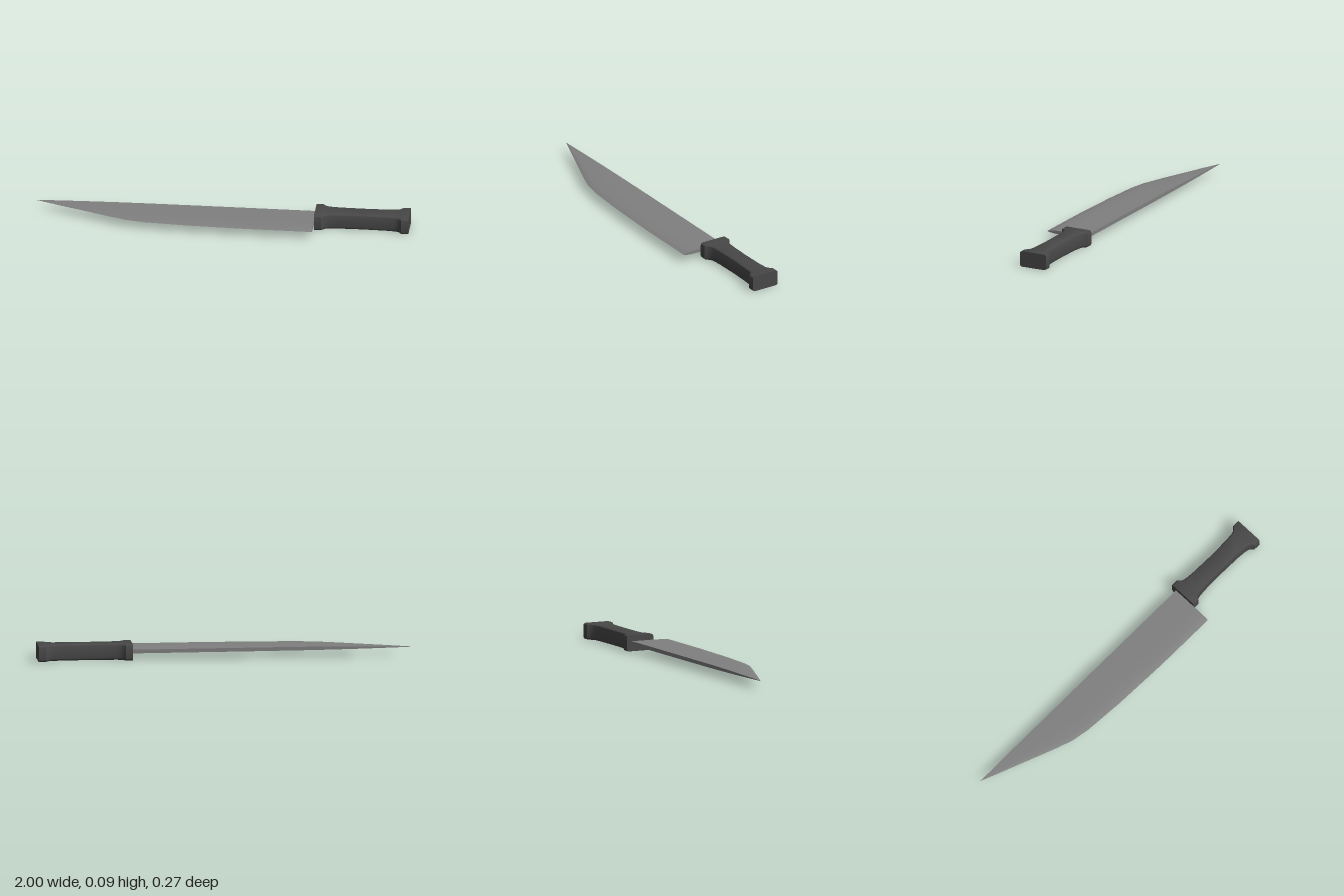
import * as THREE from 'three';
import { toCreasedNormals } from 'three/addons/utils/BufferGeometryUtils.js';

// Skin rings of [x, y, z] points, running along +x, and close both ends.
function loft(rings, crease) {
  const n = rings[0].length, pos = rings.flat(2), index = [];
  for (let i = 0; i < rings.length - 1; i++) {
    for (let j = 0; j < n; j++) {
      const a = i * n + j, b = i * n + (j + 1) % n;
      index.push(a, b, a + n, b, b + n, a + n);
    }
  }
  const last = (rings.length - 1) * n;
  for (let j = 1; j < n - 1; j++) {
    index.push(0, j + 1, j);
    index.push(last, last + j, last + j + 1);
  }
  const g = new THREE.BufferGeometry();
  g.setAttribute('position', new THREE.Float32BufferAttribute(pos, 3));
  g.setIndex(index);
  return toCreasedNormals(g, crease);
}

// Rounded rectangle in the y-z plane, ordered from +y towards +z.
function roundedRing(x, y0, y1, z0, z1, r) {
  const ring = [];
  const corners = [[y1 - r, z1 - r], [y0 + r, z1 - r], [y0 + r, z0 + r], [y1 - r, z0 + r]];
  corners.forEach(([cy, cz], k) => {
    for (let i = 0; i <= 4; i++) {
      const a = (k + i / 4) * Math.PI / 2;
      ring.push([x, cy + r * Math.cos(a), cz + r * Math.sin(a)]);
    }
  });
  return ring;
}

export function createModel() {
  const steel = new THREE.MeshStandardMaterial({ color: 0x808080 });
  steel.name = 'steel';
  const darkGrip = new THREE.MeshStandardMaterial({ color: 0x484848 });
  darkGrip.name = 'darkGrip';

  const group = new THREE.Group();
  group.name = 'knife';

  // Blade: straight spine, curved cutting edge; each entry is x, edge z, half thickness
  const spineZ = -0.105, midY = 0.044;
  const stations = [
    [-1, -0.104, 0.0005], [-0.9, -0.064, 0.003], [-0.75, -0.006, 0.006], [-0.6, 0.052, 0.008],
    [-0.5, 0.087, 0.009], [-0.4, 0.105, 0.0095], [-0.18, 0.12, 0.01],
    [0.14, 0.13, 0.01], [0.495, 0.131, 0.01],
  ];
  // Cross-section as fraction of width and of half thickness
  const section = [[0, 1], [0.55, 1], [0.82, 0.85], [0.94, 0.5], [1, 0]];
  const bladeRings = stations.map(([x, edgeZ, t]) => {
    const side = (s) => section.map(([u, v]) =>
      [x, midY + s * t * v, spineZ + (edgeZ - spineZ) * u]);
    return [...side(1), ...side(-1).reverse().slice(1)];
  });
  const blade = new THREE.Mesh(loft(bladeRings, 0.7), steel);
  blade.name = 'blade';
  group.add(blade);

  // Handle: waisted grip flaring to a block at each end; x and half width
  const flare = [[0.495, 0.079], [0.533, 0.079], [0.54, 0.071], [0.552, 0.059],
    [0.575, 0.053], [0.63, 0.049], [0.7475, 0.047]];
  const mirrored = flare.slice(0, -1).reverse().map(([x, w]) => [1.495 - x, w]);
  const handleRings = [...flare, ...mirrored].map(([x, w]) =>
    roundedRing(x, 0, 0.086, -0.056 - w, -0.056 + w, 0.012));
  const handle = new THREE.Mesh(loft(handleRings, 0.7), darkGrip);
  handle.name = 'handle';
  group.add(handle);

  return group;
}
